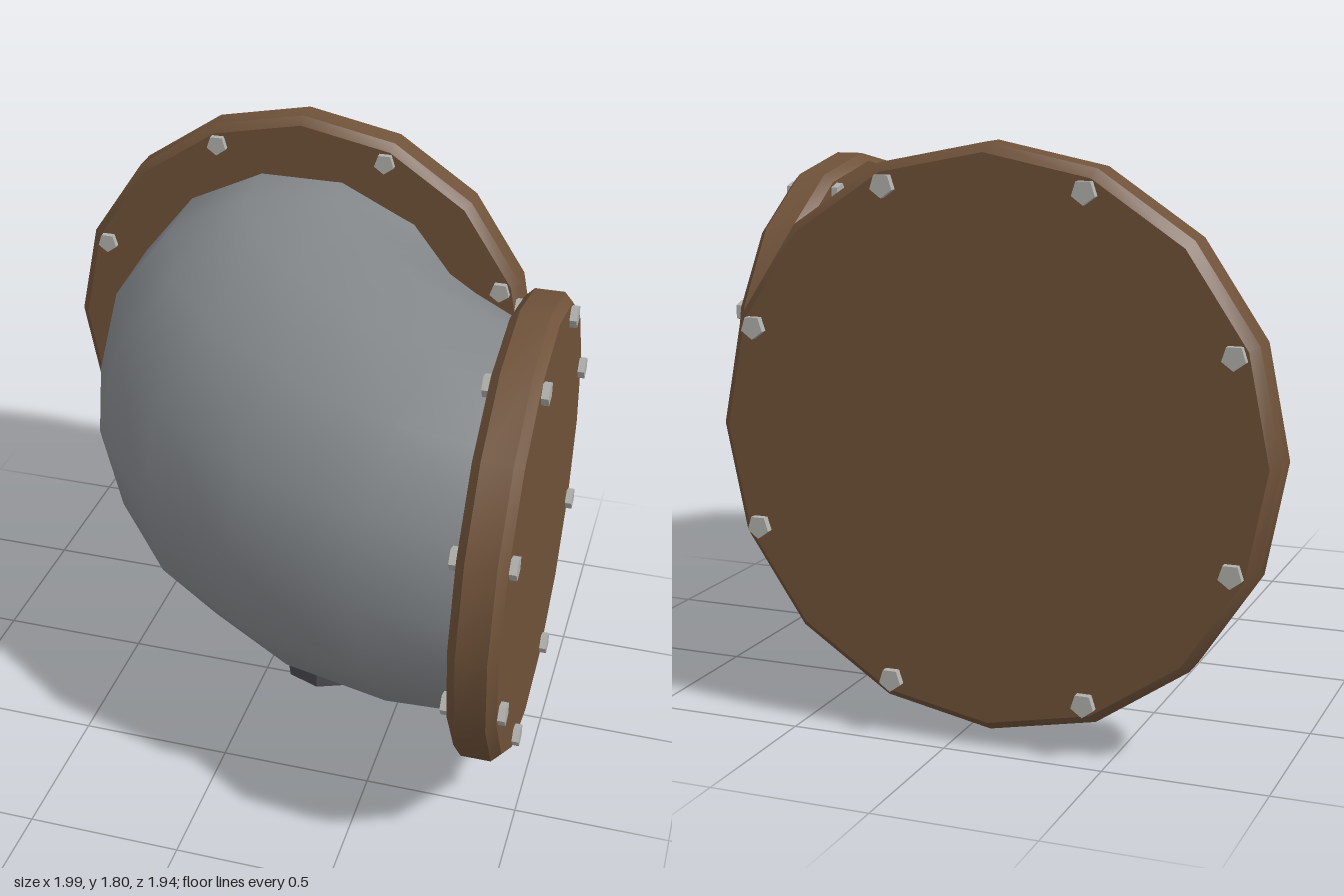
import * as THREE from 'three';
import { toCreasedNormals } from 'three/addons/utils/BufferGeometryUtils.js';

const mat = (name, color) => {
  const m = new THREE.MeshStandardMaterial({ color });
  m.name = name;
  return m;
};

const AXIS_Y = 0.925; // height of the pipe's centre line

// Swollen 90 degree elbow, swept ring by ring around an elliptical bend
function elbowGeometry() {
  const steps = 6, sides = 14;
  const cx = 0.95, cz = -0.83, rx = 1.07, rz = 1.055;
  const pos = [], index = [];
  for (let i = 0; i <= steps; i++) {
    const t = i / steps, a = t * Math.PI / 2;
    const radius = THREE.MathUtils.lerp(0.665, 0.605, t) + 0.07 * Math.sin(Math.PI * t);
    const out = new THREE.Vector2(-Math.cos(a) / rx, Math.sin(a) / rz).normalize();
    for (let j = 0; j < sides; j++) {
      const p = j / sides * Math.PI * 2, o = radius * Math.cos(p);
      pos.push(
        cx - rx * Math.cos(a) + out.x * o,
        AXIS_Y + radius * Math.sin(p),
        cz + rz * Math.sin(a) + out.y * o);
      if (i < steps) {
        const k = (j + 1) % sides;
        const A = i * sides + j, B = i * sides + k, C = A + sides, D = B + sides;
        index.push(A, C, B, C, D, B);
      }
    }
  }
  const g = new THREE.BufferGeometry();
  g.setAttribute('position', new THREE.Float32BufferAttribute(pos, 3));
  g.setIndex(index);
  g.computeVertexNormals();
  return g;
}

// Chamfered disc along y with a circle of eight through bolts
function makeFlange(name, radius, boltCircle, flangeMat, boltMat) {
  const group = new THREE.Group();
  group.name = name;
  const h = 0.075, c = 0.028;
  const profile = [[0, -h], [radius - c, -h], [radius, -h + c], [radius, h - c], [radius - c, h], [0, h]]
    .map(([x, y]) => new THREE.Vector2(x, y));
  const disc = new THREE.Mesh(
    toCreasedNormals(new THREE.LatheGeometry(profile, 16), Math.PI / 6), flangeMat);
  disc.name = name + 'Disc';
  group.add(disc);

  const boltGeo = toCreasedNormals(new THREE.CylinderGeometry(0.037, 0.037, 0.195, 5), Math.PI / 6);
  for (let i = 0; i < 8; i++) {
    const a = (i + 0.5) * Math.PI / 4;
    const bolt = new THREE.Mesh(boltGeo, boltMat);
    bolt.name = name + 'Bolt';
    bolt.position.set(boltCircle * Math.cos(a), 0, boltCircle * Math.sin(a));
    group.add(bolt);
  }
  return group;
}

export function createModel() {
  const pipeMat = mat('pipe grey', 0x85898c);
  const flangeMat = mat('rust brown', 0x6f5239);
  const boltMat = mat('bolt steel', 0xb0b0ac);
  const drainMat = mat('drain dark grey', 0x4b4b51);

  const model = new THREE.Group();
  model.name = 'pipeElbow';

  const elbow = new THREE.Mesh(elbowGeometry(), pipeMat);
  elbow.name = 'elbow';
  model.add(elbow);

  // Large flange closing the back end
  const back = makeFlange('backFlange', 0.875, 0.807, flangeMat, boltMat);
  back.rotation.x = Math.PI / 2;
  back.position.set(-0.12, AXIS_Y, -0.875);
  model.add(back);

  // Smaller flange closing the side end
  const side = makeFlange('sideFlange', 0.747, 0.677, flangeMat, boltMat);
  side.rotation.z = -Math.PI / 2;
  side.position.set(0.897, AXIS_Y, 0.225);
  model.add(side);

  // Octagonal drain stub under the bend
  const drain = new THREE.Mesh(
    toCreasedNormals(new THREE.CylinderGeometry(0.153, 0.153, 0.4, 8), Math.PI / 6), drainMat);
  drain.name = 'drainStub';
  drain.position.set(0.2, 0.2, -0.095);
  model.add(drain);

  return model;
}
